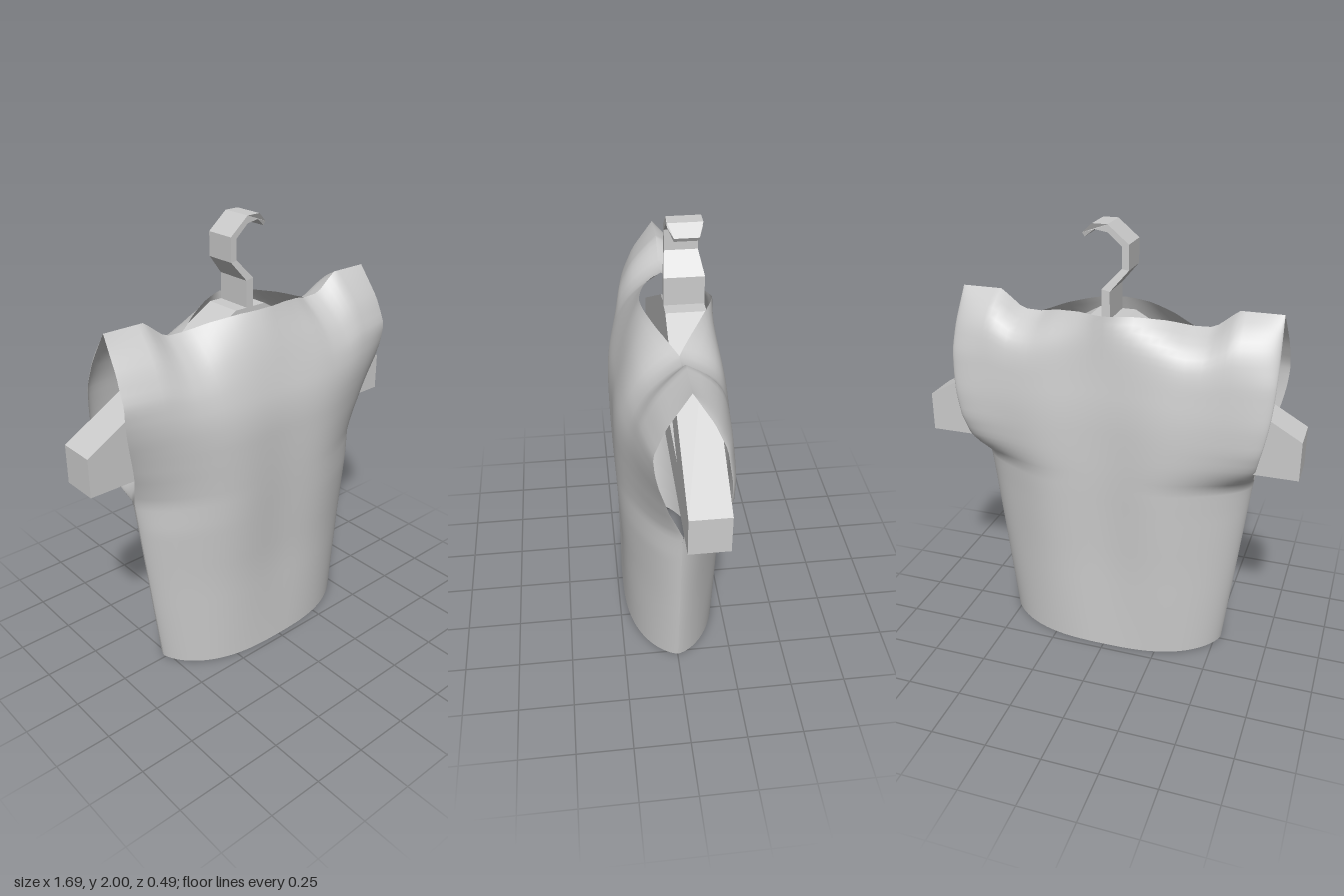
import * as THREE from 'three';

const grey = () => new THREE.MeshStandardMaterial({ color: 0xcccccc, side: THREE.DoubleSide });
const clamp = (v) => Math.min(1, Math.max(0, v));

// Linear lookup in a table sorted by its first column
function look(table, v, col = 1) {
  for (let i = 1; i < table.length; i++) {
    const a = table[i - 1], b = table[i];
    if (v <= b[0]) return a[col] + (b[col] - a[col]) * clamp((v - a[0]) / (b[0] - a[0]));
  }
  return table[table.length - 1][col];
}

// The same lookup with rounded corners
function lookSoft(table, v, col) {
  const r = Math.min(0.07, v, 1.66 - v);
  return (look(table, v - r, col) + look(table, v - r / 2, col) + look(table, v, col)
    + look(table, v + r / 2, col) + look(table, v + r, col)) / 5;
}

// Height, half width, z of the side / armhole edge, z of the middle
const FRONT = [
  [0, 0.53, 0, 0.225], [0.45, 0.583, 0, 0.226], [0.7, 0.613, 0, 0.238], [0.89, 0.635, 0, 0.246],
  [1.05, 0.665, 0.06, 0.248], [1.22, 0.713, 0.105, 0.246], [1.31, 0.733, 0.122, 0.226],
  [1.4, 0.738, 0.13, 0.2], [1.52, 0.73, 0.08, 0.165], [1.66, 0.715, -0.015, 0.11],
];
const BACK = [
  [0, 0.53, 0, -0.217], [0.45, 0.583, 0, -0.222], [0.7, 0.613, 0, -0.231], [0.89, 0.635, 0, -0.238],
  [0.94, 0.645, -0.09, -0.238], [1, 0.66, -0.155, -0.238], [1.1, 0.683, -0.185, -0.237],
  [1.22, 0.71, -0.18, -0.235], [1.4, 0.725, -0.15, -0.215], [1.52, 0.722, -0.1, -0.205],
  [1.66, 0.715, -0.015, -0.195],
];
// Height of the collar and shoulder line against distance from the middle
const TOP = [[0, 1.637], [0.13, 1.63], [0.25, 1.607], [0.34, 1.577], [0.43, 1.58], [0.53, 1.66], [0.72, 1.66]];

// One cloth panel, from side edge to side edge and from hem to collar
function panel(name, table, { side, neckPower, blend, fold, slope }) {
  const cols = 56, rows = 54;
  const geo = new THREE.PlaneGeometry(1, 1, cols, rows);
  const pos = geo.attributes.position;
  for (let j = 0; j <= rows; j++) {
    const h = 1.66 * (1 - j / rows);
    const width = lookSoft(table, h, 1), edge = look(table, h, 2), mid = lookSoft(table, h, 3);
    const t = clamp((h - 1.3) / 0.36) ** blend;
    const power = 0.66 + slope * clamp((h - 0.75) / 0.45);
    for (let i = 0; i <= cols; i++) {
      const u = Math.sin((i / cols - 0.5) * Math.PI) * side, au = Math.abs(u);
      const x = u * width;
      const body = Math.max(0, 1 - au ** 2.7) ** power;
      const neck = Math.max(0, 1 - (au * 0.715 / 0.34) ** neckPower);
      const y = h + (look(TOP, au * 0.715) - 1.66) * clamp((h - 1) / 0.66) ** 2
        + 0.015 * au ** 4 * clamp(1 - h / 0.3);
      // Soft vertical folds, fading towards edges, hem and collar
      const ripple = fold * -Math.cos(x * Math.PI * 2 / 0.52) * body * Math.sin(Math.PI * clamp(h / 1.66));
      const z = edge + (mid - edge) * (body + (neck - body) * t) + side * ripple;
      pos.setXYZ(j * (cols + 1) + i, x, y, z);
    }
  }
  geo.computeVertexNormals();
  const mesh = new THREE.Mesh(geo, grey());
  mesh.name = name;
  return mesh;
}

function toShape(points) {
  return new THREE.Shape(points.map(([x, y]) => new THREE.Vector2(x, y)));
}

function extruded(name, shape, depth, z) {
  const geo = new THREE.ExtrudeGeometry(shape, { depth, bevelEnabled: false });
  geo.translate(0, 0, z);
  const mesh = new THREE.Mesh(geo, grey());
  mesh.material.flatShading = true;
  mesh.name = name;
  return mesh;
}

export function createModel() {
  const model = new THREE.Group();
  model.name = 'shirtOnHanger';

  const shirt = new THREE.Group();
  shirt.name = 'shirt';
  shirt.add(
    panel('shirtFront', FRONT, { side: 1, neckPower: 1.6, blend: 2, fold: 0.007, slope: 0.3 }),
    panel('shirtBack', BACK, { side: -1, neckPower: 1.2, blend: 4, fold: 0.014, slope: -0.1 }),
  );
  model.add(shirt);

  const hanger = new THREE.Group();
  hanger.name = 'hanger';

  // Triangular frame with an open middle
  const frame = toShape([[-0.845, 1], [0.845, 1], [0.845, 1.175], [0.08, 1.615], [-0.08, 1.615], [-0.845, 1.175]]);
  frame.holes.push(toShape([[-0.5, 1.17], [0, 1.46], [0.5, 1.17]]));
  hanger.add(extruded('hangerFrame', frame, 0.17, -0.16));

  // Angular hook, narrowing in depth above the neck and again at the tip
  const hook = extruded('hangerHook', toShape([
    [-0.02, 1.6], [0.015, 1.6], [0.015, 1.74], [-0.065, 1.825], [-0.065, 1.915], [-0.005, 1.968], [0.05, 1.977],
    [0.1, 1.94], [0.11, 1.957], [0.06, 2], [-0.005, 2], [-0.095, 1.925], [-0.095, 1.82], [-0.02, 1.732],
  ]), 0.17, -0.16);
  const p = hook.geometry.attributes.position;
  for (let i = 0; i < p.count; i++) {
    const inset = p.getX(i) > 0.09 ? 0.02 : 0;
    if (p.getY(i) > 1.78) p.setZ(i, p.getZ(i) > -0.07 ? -inset : -0.14 + inset);
  }
  hook.geometry.computeVertexNormals();
  hanger.add(hook);
  model.add(hanger);
  return model;
}
